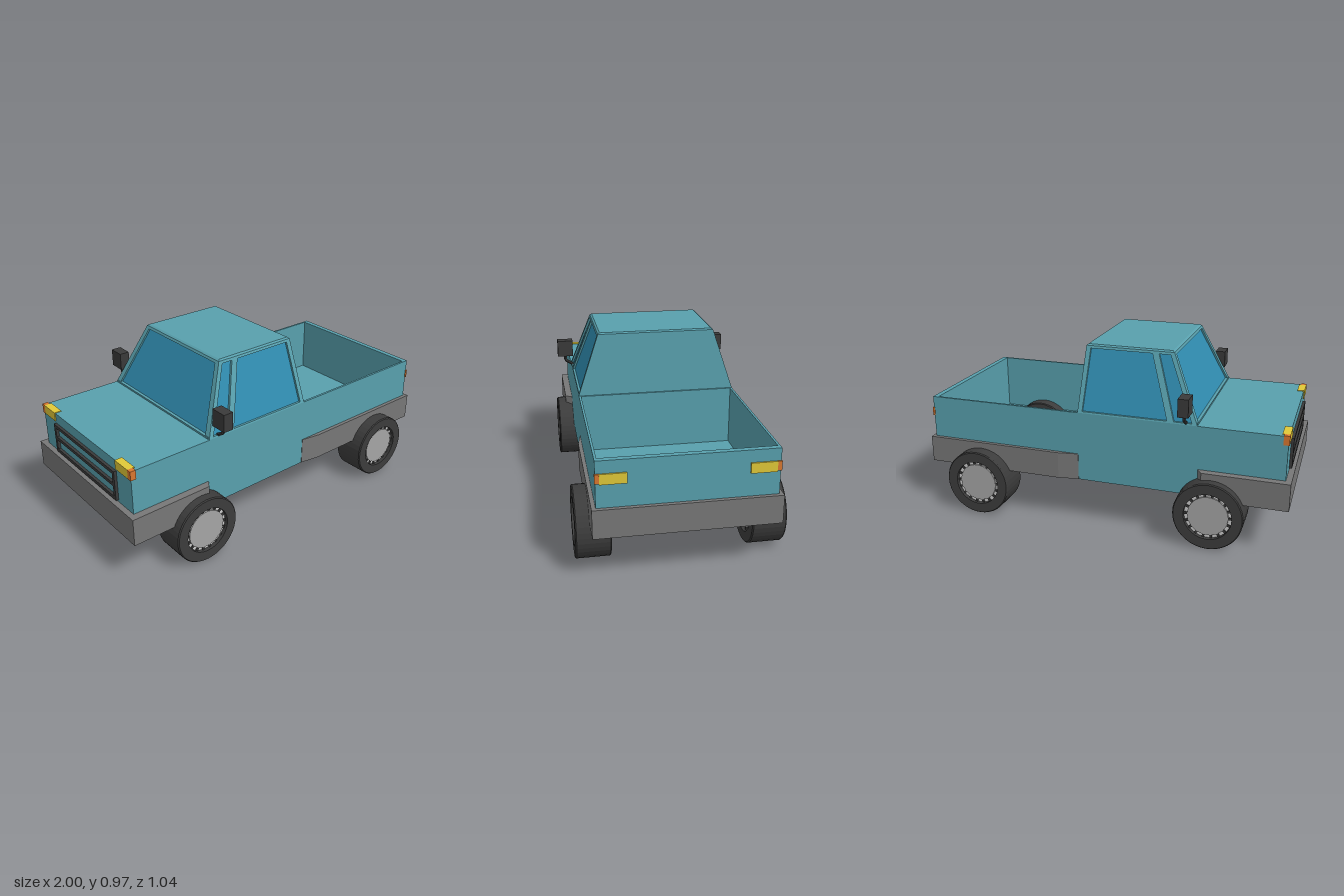
import * as THREE from 'three';
import { ConvexGeometry } from 'three/addons/geometries/ConvexGeometry.js';

const mat = (color, flatShading = true) => new THREE.MeshStandardMaterial({ color, flatShading });

export function createModel() {
  const truck = new THREE.Group();
  truck.name = 'pickupTruck';
  const paint = mat(0x58a0ad), glass = mat(0x308cb0), grey = mat(0x777777), dark = mat(0x3a3a3a);
  const rubber = mat(0x3c3c3c, false), steel = mat(0xa5a5a5), white = mat(0xffffff);
  const yellow = mat(0xe0c838), orange = mat(0xd9772f);

  const add = (name, geo, material, parent = truck) => {
    const m = new THREE.Mesh(geo, material);
    m.name = name;
    parent.add(m);
    return m;
  };
  // Box given by its limits on each axis
  const box = (name, material, [x0, x1], [y0, y1], [z0, z1], parent) => {
    const g = new THREE.BoxGeometry(x1 - x0, y1 - y0, Math.abs(z1 - z0));
    g.translate((x0 + x1) / 2, (y0 + y1) / 2, (z0 + z1) / 2);
    return add(name, g, material, parent);
  };
  const hull = (name, material, pts, parent) =>
    add(name, new ConvexGeometry(pts.map(p => new THREE.Vector3(...p))), material, parent);

  // Body and open bed
  box('frontBody', paint, [-0.97, 0.13], [0.25, 0.63], [-0.43, 0.43]);
  box('bedFloor', paint, [0.12, 0.98], [0.25, 0.31], [-0.43, 0.43]);
  box('tailgate', paint, [0.95, 0.98], [0.25, 0.63], [-0.43, 0.43]);
  for (const s of [1, -1]) box('bedSide', paint, [0.12, 0.98], [0.25, 0.63], [s * 0.418, s * 0.43]);

  // Cabin: glass core with painted frames laid over its sloping faces
  const cabin = new THREE.Group();
  cabin.name = 'cabin';
  truck.add(cabin);
  const rise = y => (y - 0.63) / 0.34;
  const sideZ = y => 0.43 - 0.115 * rise(y);
  const frontX = y => -0.52 + 0.155 * rise(y);
  const rearX = y => 0.12 - 0.015 * rise(y);
  const ring = (y, inset) => {
    const z = sideZ(y) - inset, a = frontX(y) + inset, b = rearX(y) - inset;
    return [[a, y, z], [b, y, z], [b, y, -z], [a, y, -z]];
  };
  hull('windowGlass', glass, [...ring(0.63, 0.012), ...ring(0.965, 0.012)], cabin);
  hull('roof', paint, [...ring(0.953, 0), ...ring(0.966, 0), ...ring(0.973, 0.008)], cabin);
  const back = [0.63, 0.966].flatMap(y => [1, -1].flatMap(s =>
    [[rearX(y), y, s * sideZ(y)], [rearX(y) - 0.02, y, s * sideZ(y)]]));
  hull('rearWall', paint, back, cabin);

  // Side strips as [x, y] corners, windshield strips as [z, y] corners
  const sideStrips = {
    frontPillar: [[-0.52, 0.63], [-0.495, 0.63], [-0.345, 0.96], [-0.369, 0.96]],
    windowDivider: [[-0.4, 0.63], [-0.365, 0.63], [-0.25, 0.96], [-0.285, 0.96]],
    rearPillar: [[0.095, 0.63], [0.12, 0.63], [0.105, 0.96], [0.08, 0.96]],
    windowSill: [[-0.52, 0.63], [0.12, 0.63], [0.12, 0.638], [-0.516, 0.638]],
  };
  for (const s of [1, -1]) {
    for (const [name, pts] of Object.entries(sideStrips)) {
      hull(name, paint, pts.flatMap(([x, y]) =>
        [[x, y, s * sideZ(y)], [x, y, s * (sideZ(y) - 0.02)]]), cabin);
    }
    const edge = [[0.43, 0.63], [0.395, 0.63], [0.29, 0.96], [0.318, 0.96]];
    hull('windshieldPillar', paint, edge.flatMap(([z, y]) =>
      [[frontX(y), y, s * z], [frontX(y) + 0.02, y, s * z]]), cabin);
  }
  box('windshieldSill', paint, [-0.52, -0.49], [0.625, 0.64], [-0.42, 0.42], cabin);

  // Wrap-around bumpers, drawn as U outlines in plan
  const bumper = (name, half) => {
    const pts = [...half, ...half.slice().reverse().map(([x, z]) => [x, -z])];
    const inner = name === 'rearBumper' ? [0.97, 0.12] : [-0.96, -0.53];
    pts.push([inner[1], -0.424], [inner[0], -0.424], [inner[0], 0.424], [inner[1], 0.424]);
    const shape = new THREE.Shape(pts.map(p => new THREE.Vector2(...p)));
    const g = new THREE.ExtrudeGeometry(shape, { depth: 0.146, bevelEnabled: false });
    g.rotateX(Math.PI / 2).translate(0, 0.397, 0);
    add(name, g, grey);
  };
  bumper('frontBumper', [[-0.53, 0.432], [-0.555, 0.47], [-1, 0.47]]);
  bumper('rearBumper', [[0.12, 0.432], [0.23, 0.45], [1, 0.45]]);

  // Grille frame with a middle bar
  for (const y of [0.41, 0.485, 0.555]) box('grilleBar', dark, [-0.985, -0.965], [y, y + 0.018], [-0.3, 0.3]);
  for (const s of [1, -1]) box('grilleEnd', dark, [-0.985, -0.965], [0.41, 0.573], [s * 0.282, s * 0.3]);

  for (const s of [1, -1]) {
    // Lamps with orange corner markers
    box('headlight', yellow, [-0.975, -0.935], [0.585, 0.634], [s * 0.3, s * 0.41]);
    box('frontMarker', orange, [-0.975, -0.945], [0.585, 0.634], [s * 0.41, s * 0.435]);
    box('tailLight', yellow, [0.97, 0.988], [0.515, 0.567], [s * 0.285, s * 0.412]);
    box('rearMarker', orange, [0.975, 0.987], [0.52, 0.567], [s * 0.412, s * 0.433]);

    // Door mirror on a bent stem
    box('mirror', dark, [-0.49, -0.435], [0.695, 0.79], [s * 0.42, s * 0.51]);
    const path = new THREE.CurvePath();
    const p = [[0.42, 0.637], [0.465, 0.665], [0.465, 0.71]].map(([z, y]) => new THREE.Vector3(-0.46, y, s * z));
    path.add(new THREE.LineCurve3(p[0], p[1]));
    path.add(new THREE.LineCurve3(p[1], p[2]));
    add('mirrorStem', new THREE.TubeGeometry(path, 12, 0.009, 6), dark);

    // Wheels: hollow tyre, pale ring, hub and short spokes on both faces
    for (const x of [-0.605, 0.69]) {
      const wheel = new THREE.Group();
      wheel.name = x < 0 ? 'frontWheel' : 'rearWheel';
      wheel.position.set(x, 0.182, s * 0.433);
      truck.add(wheel);
      const w = 0.087;
      const tyre = [[0.124, -w], [0.177, -w], [0.182, -w + 0.006], [0.182, w - 0.006], [0.177, w], [0.124, w], [0.124, -w]];
      const geo = new THREE.LatheGeometry(tyre.map(q => new THREE.Vector2(...q)), 40).rotateX(Math.PI / 2);
      add('tyre', geo, new THREE.MeshStandardMaterial({ color: rubber.color, flatShading: true }), wheel);
      add('rimRing', new THREE.CylinderGeometry(0.125, 0.125, 0.13, 40).rotateX(Math.PI / 2), white, wheel);
      add('hub', new THREE.CylinderGeometry(0.105, 0.105, 0.15, 40).rotateX(Math.PI / 2), steel, wheel);
      for (let i = 0; i < 18; i++) {
        const g = new THREE.BoxGeometry(0.026, 0.012, 0.144);
        g.translate(0.113, 0, 0).rotateZ((i / 18) * Math.PI * 2);
        add('spoke', g, dark, wheel);
      }
    }
  }
  return truck;
}
